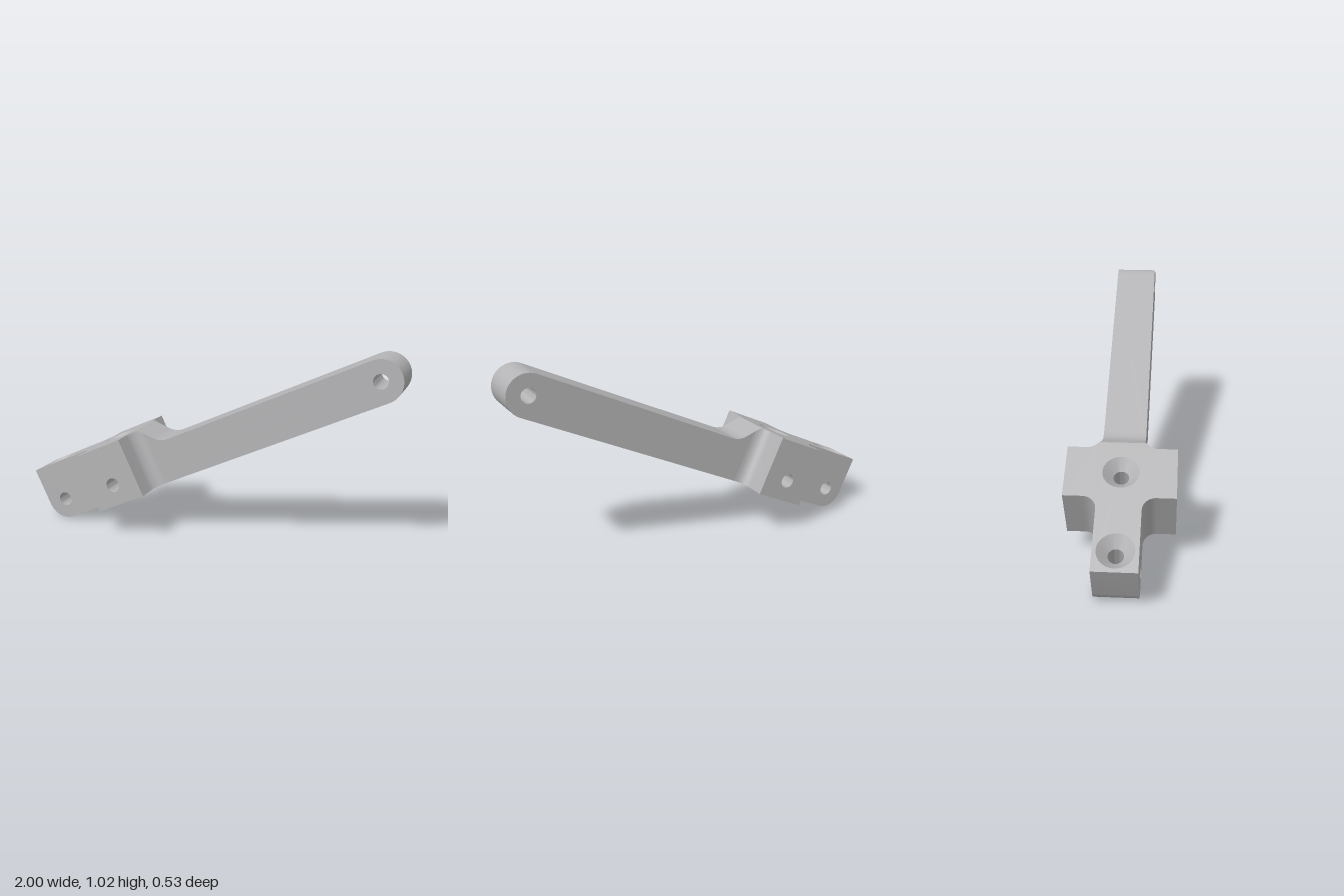
import * as THREE from 'three';
import { toCreasedNormals } from 'three/addons/utils/BufferGeometryUtils.js';

const R = 0.107, TOP = 0.207, HALF = 0.106, WIDE = 0.265; // end radius, block top, arm and lug half widths
const LEN = 1.887, MID = 0.422, HOLE = 0.037, SINK = 0.088;
const U0 = 0.282, U1 = 0.562, F = 0.066; // lug extents and fillet radius
const PEAK = 0.594, SEG = 32;
const rampY = (u) => Math.min(TOP, PEAK + TOP - u); // 45 degree ramp behind the block

const metal = new THREE.MeshStandardMaterial({ color: 0xb4b4b6, side: THREE.DoubleSide });
metal.name = 'grey metal';

function add(parent, name, geometry) {
  const mesh = new THREE.Mesh(geometry, metal);
  mesh.name = name;
  parent.add(mesh);
  return mesh;
}

// Surface spanned between two point rows
function ruled(a, b) {
  const p = [];
  for (let i = 0; i + 1 < a.length; i++) {
    for (const q of [a[i], a[i + 1], b[i + 1], a[i], b[i + 1], b[i]]) p.push(...q);
  }
  const g = new THREE.BufferGeometry();
  g.setAttribute('position', new THREE.Float32BufferAttribute(p, 3));
  return toCreasedNormals(g, 0.5);
}

function arc(cx, cy, r, a0, a1, n) {
  return Array.from({ length: n + 1 }, (_, i) => {
    const t = a0 + ((a1 - a0) * i) / n;
    return [cx + r * Math.cos(t), cy + r * Math.sin(t)];
  });
}

// Flat face with round holes given as [x, y, radius]
function plate(points, holes = []) {
  const shape = new THREE.Shape(points.map(([x, y]) => new THREE.Vector2(x, y)));
  for (const [x, y, r] of holes) {
    const pts = arc(x, y, r, 0, -2 * Math.PI, SEG).slice(0, -1);
    shape.holes.push(new THREE.Path(pts.map(([a, b]) => new THREE.Vector2(a, b))));
  }
  return new THREE.ShapeGeometry(shape);
}

export function createModel() {
  const model = new THREE.Group();
  model.name = 'leverArm';
  const body = new THREE.Group();
  body.name = 'tiltedBody';
  body.rotation.z = THREE.MathUtils.degToRad(25.15);
  body.position.set(-0.815, R, 0);
  model.add(body);
  const PI = Math.PI;

  // Side profile of the arm, anticlockwise from the top rear corner of the block
  const profile = [
    [-R, TOP],
    ...arc(0, 0, R, PI, 1.5 * PI, 10),
    ...arc(LEN, 0, R, -PI / 2, PI / 2, 20),
    ...arc(0.74, 0.218, 0.111, 1.5 * PI, 1.25 * PI, 6),
    [PEAK, TOP],
  ];
  add(body, 'armEdge', ruled(
    profile.map(([x, y]) => [x, y, -HALF]),
    profile.map(([x, y]) => [x, y, HALF])));

  // Plan outline of one lug, with a fillet split where the ramp begins
  const cut = 2 * PI - Math.acos((PEAK - U1 - F) / F);
  const rear = [...arc(U0 - F, HALF + F, F, 1.5 * PI, 2 * PI, 10), [U0, WIDE]];
  const front = [[U1, WIDE], ...arc(U1 + F, HALF + F, F, PI, cut, 7)];
  const frontEnd = arc(U1 + F, HALF + F, F, cut, 1.5 * PI, 4);
  const frontAll = [...front, ...frontEnd.slice(1)];

  // Cross-shaped top face with two countersunk openings
  const edge = [[-R, HALF], ...rear, ...front];
  const mirrored = edge.map(([u, z]) => [u, -z]).reverse();
  const top = plate([...edge, ...mirrored], [[0, 0, SINK], [MID, 0, SINK]]);
  top.rotateX(-PI / 2).translate(0, TOP, 0);
  add(body, 'blockTop', top);

  // Countersinks and bores running down into the cross holes
  for (const u of [0, MID]) {
    const ring = (r, y) => arc(0, 0, r, 0, 2 * PI, SEG).map(([x, z]) => [u + x, y(z), z]);
    const neck = ring(HOLE, () => TOP - SINK + HOLE);
    add(body, 'countersink', ruled(neck, ring(SINK, () => TOP)));
    add(body, 'screwBore', ruled(ring(HOLE, (z) => Math.abs(z)), neck));
  }

  // Everything that mirrors from side to side
  for (const s of [1, -1]) {
    const half = new THREE.Group();
    half.name = s > 0 ? 'frontHalf' : 'backHalf';
    half.scale.z = s;
    body.add(half);

    const holes = [0, MID, LEN].map((u) => [u, 0, HOLE]);
    add(half, 'armSide', plate(profile, holes)).position.z = HALF;

    // Lug
    const face = plate([[U0, -R], [U1, -R], [U1, TOP], [U0, TOP]], [[MID, 0, HOLE]]);
    add(half, 'lugFace', face).position.z = WIDE;
    for (const row of [rear, frontAll]) {
      add(half, 'lugWall', ruled(
        row.map(([u, z]) => [u, -R, z]),
        row.map(([u, z]) => [u, rampY(u), z])));
    }
    const under = plate([...rear, ...frontAll]);
    under.rotateX(PI / 2).translate(0, -R, 0);
    add(half, 'lugUnderside', under);
    add(half, 'filletRamp', ruled(
      frontEnd.map(([u, z]) => [u, rampY(u), z]),
      frontEnd.map(([u]) => [u, rampY(u), HALF])));

    // Cross holes, opened where a bore meets them
    for (const [u, depth, bored] of [[0, HALF, 1], [MID, WIDE, 1], [LEN, HALF, 0]]) {
      const ring = arc(0, 0, HOLE, 0, 2 * PI, SEG);
      add(half, 'crossHole', ruled(
        ring.map(([x, y]) => [u + x, y, depth]),
        ring.map(([x, y]) => [u + x, y, bored * Math.max(0, y)])));
    }
  }
  return model;
}
